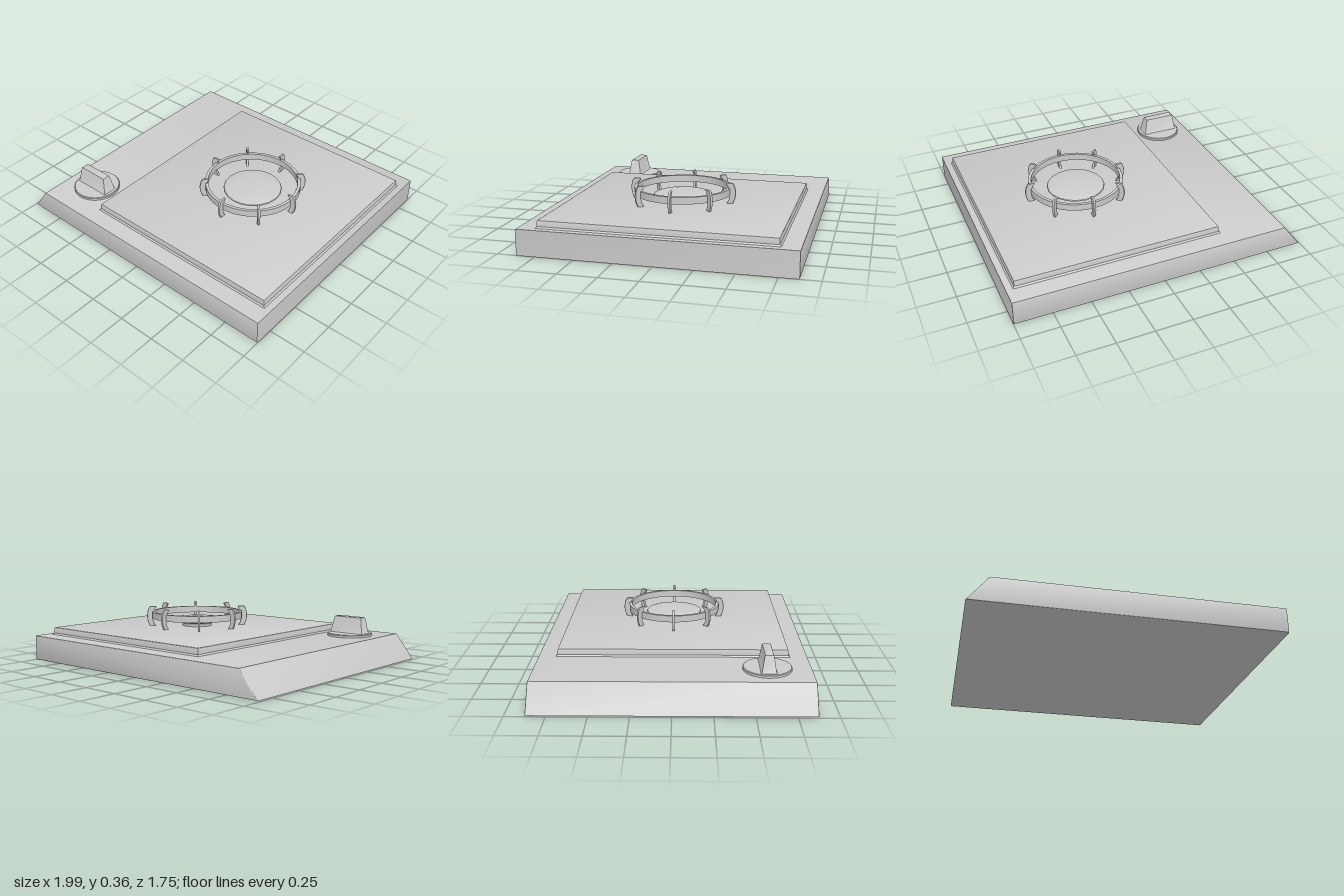
import * as THREE from 'three';
import { toCreasedNormals } from 'three/addons/utils/BufferGeometryUtils.js';

const material = new THREE.MeshStandardMaterial({ color: 0xcccccc });

function part(name, geometry, parent) {
  const mesh = new THREE.Mesh(toCreasedNormals(geometry, 0.6), material);
  mesh.name = name;
  parent.add(mesh);
  return mesh;
}

// Stack of rectangles [halfWidth, halfDepth, y], capped at both ends
function rectLoft(sections) {
  const pos = [], index = [];
  for (const [w, d, y] of sections) pos.push(-w, y, d, w, y, d, w, y, -d, -w, y, -d);
  const n = sections.length;
  for (let s = 0; s < n - 1; s++) {
    for (let i = 0; i < 4; i++) {
      const a = s * 4 + i, b = s * 4 + (i + 1) % 4;
      index.push(a, b, b + 4, a, b + 4, a + 4);
    }
  }
  const t = (n - 1) * 4;
  index.push(0, 2, 1, 0, 3, 2, t, t + 1, t + 2, t, t + 2, t + 3);
  const g = new THREE.BufferGeometry();
  g.setAttribute('position', new THREE.Float32BufferAttribute(pos, 3));
  g.setIndex(index);
  g.computeVertexNormals();
  return g;
}

const lathe = (points, segments) =>
  new THREE.LatheGeometry(points.map(([r, y]) => new THREE.Vector2(r, y)), segments);

export function createModel() {
  const model = new THREE.Group();
  model.name = 'singleBurnerHob';

  // Body: wedge-sided slab with softened edges
  const b = 0.008;
  const slab = new THREE.Shape();
  slab.moveTo(-1 + 2.3 * b, b);
  slab.lineTo(1 - b, b);
  slab.lineTo(1 - b, 0.17 - b);
  slab.lineTo(-0.862 + b * 0.5, 0.17 - b);
  slab.closePath();
  const bodyGeo = new THREE.ExtrudeGeometry(slab, {
    depth: 1.75 - 2 * b, bevelSize: b, bevelThickness: b, bevelSegments: 2,
  });
  bodyGeo.translate(0, 0, -0.875 + b);
  part('body', bodyGeo, model);

  // Raised cooking plate with a flared foot and chamfered rim
  const plate = part('cookingPlate', rectLoft([
    [0.703, 0.762, 0.165], [0.699, 0.757, 0.173], [0.691, 0.75, 0.18], [0.69, 0.749, 0.212],
    [0.688, 0.747, 0.218], [0.682, 0.741, 0.221],
  ]), model);
  plate.position.x = 0.256;

  // Burner
  const burner = new THREE.Group();
  burner.name = 'burner';
  burner.position.x = 0.266;
  model.add(burner);

  part('burnerBase', lathe([
    [0, 0.215], [0.105, 0.215], [0.108, 0.24], [0.12, 0.25], [0, 0.25],
  ], 24), burner);
  part('burnerCap', lathe([
    [0, 0.248], [0.11, 0.248], [0.19, 0.257], [0.198, 0.262], [0.194, 0.268],
    [0.175, 0.274], [0.13, 0.28], [0.07, 0.284], [0, 0.285],
  ], 20), burner);

  // Pan support: flat ring held by eight curved claws
  part('supportRing', lathe([
    [0.302, 0.277], [0.322, 0.277], [0.322, 0.323], [0.302, 0.323], [0.302, 0.277],
  ], 48), burner);

  const claw = new THREE.Shape();
  claw.moveTo(0.297, 0.218);
  claw.lineTo(0.335, 0.218);
  claw.bezierCurveTo(0.36, 0.25, 0.366, 0.31, 0.342, 0.352);
  claw.lineTo(0.334, 0.357);
  claw.lineTo(0.298, 0.357);
  claw.lineTo(0.294, 0.352);
  claw.bezierCurveTo(0.325, 0.325, 0.33, 0.25, 0.297, 0.218);
  const clawGeo = new THREE.ExtrudeGeometry(claw, {
    depth: 0.008, bevelSize: 0.002, bevelThickness: 0.003, bevelSegments: 1, curveSegments: 8,
  });
  clawGeo.translate(0, 0, -0.004);
  for (let i = 0; i < 8; i++) {
    part('supportClaw', clawGeo, burner).rotation.y = i * Math.PI / 4;
  }

  // Control knob: round skirt and tapered grip
  const knob = new THREE.Group();
  knob.name = 'controlKnob';
  knob.position.set(-0.644, 0, 0.593);
  model.add(knob);
  part('knobSkirt', lathe([
    [0, 0.165], [0.155, 0.165], [0.155, 0.184], [0.151, 0.189], [0, 0.19],
  ], 48), knob);
  part('knobGrip', rectLoft([
    [0.132, 0.053, 0.186], [0.125, 0.045, 0.195], [0.108, 0.029, 0.292],
    [0.105, 0.026, 0.299], [0.099, 0.02, 0.302],
  ]), knob);

  return model;
}
